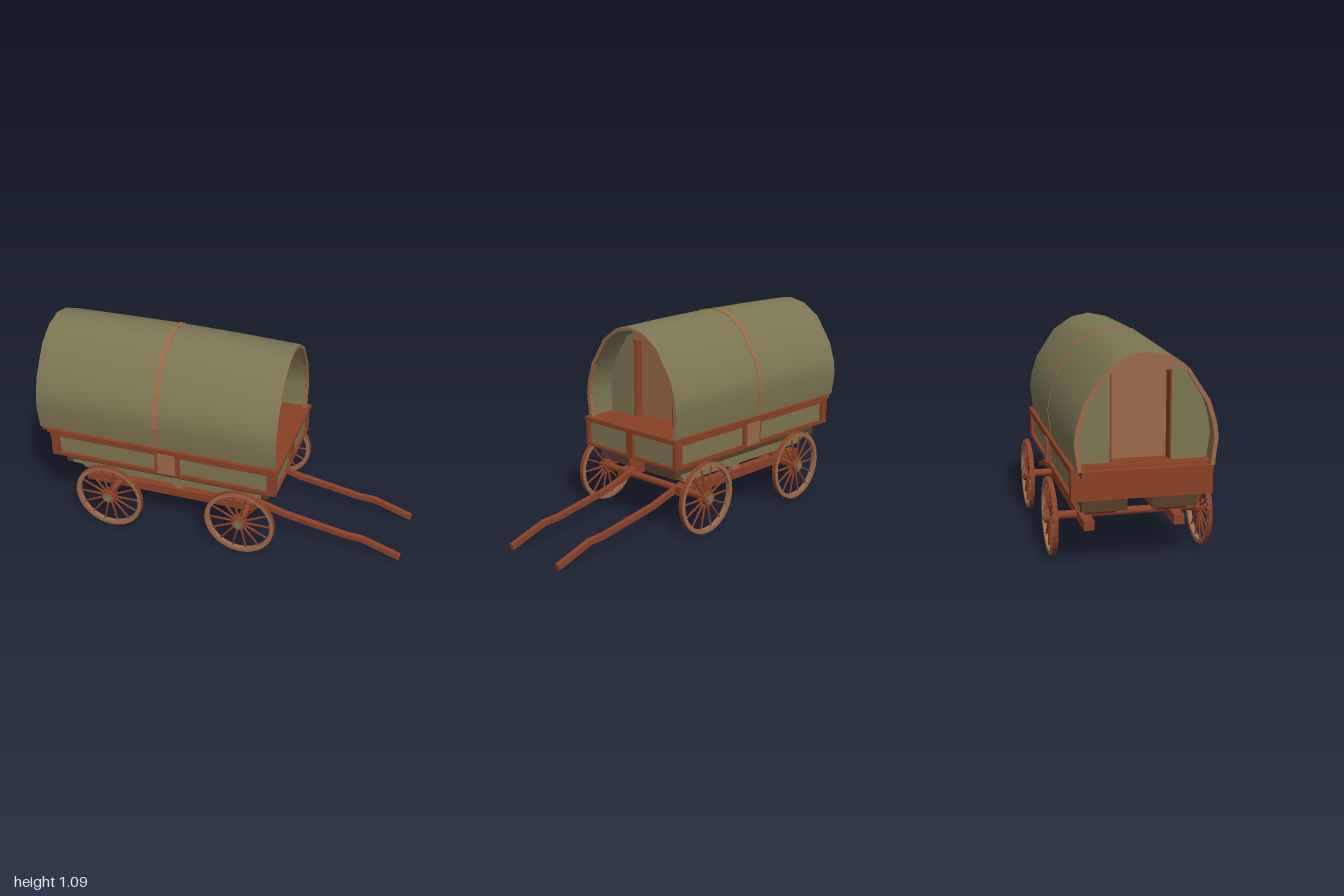
import * as THREE from 'three';

const mat = (name, color) => {
  const m = new THREE.MeshStandardMaterial({ color, side: THREE.DoubleSide });
  m.name = name;
  return m;
};

export function createModel() {
  const root = new THREE.Group();
  root.name = 'coveredWagon';
  const canvas = mat('oliveCanvas', 0x7d7653);
  const redWood = mat('redWood', 0x8a4026);
  const paleWood = mat('paleWood', 0x9b6a4b);
  const darkWood = mat('darkWood', 0x543d2a);

  const add = (name, geo, material, parent = root) => {
    const m = new THREE.Mesh(geo, material);
    m.name = name;
    parent.add(m);
    return m;
  };
  // Box given by its limits on each axis
  const box = (name, material, x0, x1, y0, y1, z0, z1) => {
    const m = add(name, new THREE.BoxGeometry(x1 - x0, y1 - y0, z1 - z0), material);
    m.position.set((x0 + x1) / 2, (y0 + y1) / 2, (z0 + z1) / 2);
    return m;
  };

  // Arched cross-section as [z, y], from one foot over the ridge to the other
  const half = [[0.325, 0.535], [0.342, 0.67], [0.331, 0.747], [0.298, 0.85], [0.2, 1.0], [0.1, 1.069]];
  const arch = (sz, sy) => [...half, [0, 1.09], ...half.map(([z, y]) => [-z, y]).reverse()]
    .map(([z, y]) => [z * sz, 0.535 + (y - 0.535) * sy]);
  const toShape = pts => new THREE.Shape(pts.map(p => new THREE.Vector2(p[0], p[1])));
  // Upright plate lying across the wagon, between x0 and x0 + depth
  const plate = (name, pts, x0, depth, material) => {
    const g = new THREE.ExtrudeGeometry(toShape(pts), { depth, bevelEnabled: false });
    g.rotateY(Math.PI / 2);
    g.translate(x0, 0, 0);
    return add(name, g, material);
  };
  const hoop = (name, outer, inner, x0, depth) =>
    plate(name, [...arch(...outer), ...arch(...inner).reverse()], x0, depth, paleWood);

  // Canvas cover: smooth loft through slightly swelling arches
  const stations = [[-1, 0.97], [-0.93, 0.985], [-0.65, 0.995], [-0.315, 1], [0, 0.99], [0.337, 0.97]];
  const pos = [], idx = [], n = arch(1, 1).length;
  stations.forEach(([x, s], i) => {
    arch(0.5 + s / 2, s).forEach(([z, y], j) => {
      pos.push(x, y, z);
      if (i && j) {
        const a = (i - 1) * n + j - 1, b = a + n;
        idx.push(a, b, a + 1, b, b + 1, a + 1);
      }
    });
  });
  const cover = new THREE.BufferGeometry();
  cover.setAttribute('position', new THREE.Float32BufferAttribute(pos, 3));
  cover.setIndex(idx);
  cover.computeVertexNormals();
  add('canvasCover', cover, canvas);
  hoop('middleHoop', [1.008, 1.006], [0.97, 0.975], -0.33, 0.03);
  hoop('frontHoop', [0.983, 0.969], [0.925, 0.938], 0.314, 0.022);
  hoop('rearHoop', [0.983, 0.969], [0.925, 0.938], -0.999, 0.022);

  // End walls set inside the cover, each with a recessed door in a red jamb
  const door = 0.138, side = door + 0.008;
  const inner = arch(0.975, 0.96);
  const flank = inner.slice(0, 5);
  for (const [x, inward] of [[0.145, -0.045], [-0.88, 0.065]]) {
    for (const s of [1, -1]) {
      const pts = [[side, 0.535], ...flank, [side, 1.0]].map(([z, y]) => [z * s, y]);
      plate('endWall', pts, x, 0.02, canvas);
      const x0 = Math.min(x, x + inward), x1 = Math.max(x + 0.021, x + inward);
      box('doorJamb', redWood, x0, x1, 0.54, 0.965, s > 0 ? door : -side, s > 0 ? side : -door);
    }
    plate('gable', [[side, 0.965], [side, 1.0], ...inner.slice(5, 8), [-side, 1.0], [-side, 0.965]], x, 0.02, paleWood);
    box('door', paleWood, x + inward, x + inward + 0.015, 0.535, 0.97, -door, door);
  }

  // Bed with olive panels inside a wooden frame
  box('bedPanels', canvas, -0.915, 0.33, 0.39, 0.525, -0.322, 0.322);
  box('bedFloor', redWood, -0.93, 0.34, 0.377, 0.392, -0.335, 0.335);
  box('deck', redWood, -0.95, 0.355, 0.522, 0.54, -0.342, 0.342);
  box('rearStep', redWood, -1, -0.93, 0.502, 0.535, -0.3, 0.3);
  box('tailBoard', redWood, -0.93, -0.91, 0.38, 0.525, -0.335, 0.335);
  for (const s of [1, -1]) {
    const z0 = s > 0 ? 0.315 : -0.338, z1 = z0 + 0.023;
    box('sideRail', redWood, -0.935, 0.345, 0.502, 0.524, z0, z1);
    box('sideSill', redWood, -0.93, 0.345, 0.378, 0.398, z0, z1);
    for (const [a, b] of [[-0.93, -0.885], [-0.325, -0.19], [0.295, 0.345]])
      box('sidePost', redWood, a, b, 0.38, 0.524, z0, z1);
    const zp = s > 0 ? 0.336 : -0.343;
    box('sideBadgePlate', paleWood, -0.31, -0.21, 0.39, 0.512, zp, zp + 0.007);
  }
  box('frontRail', redWood, 0.325, 0.345, 0.512, 0.524, -0.335, 0.335);
  box('frontSill', redWood, 0.325, 0.345, 0.378, 0.39, -0.335, 0.335);
  for (const z of [-0.328, 0, 0.328])
    box('frontPost', redWood, 0.325, 0.347, 0.38, 0.524, z - (z ? 0.01 : 0.022), z + (z ? 0.01 : 0.022));

  // Twin lockers slung below the bed, with narrower bottoms
  for (const s of [1, -1]) {
    const span = (a, b) => (s > 0 ? [a, b] : [-b, -a]);
    const [zPlus, zMinus] = s > 0 ? [darkWood, redWood] : [redWood, darkWood];
    box('locker', [darkWood, darkWood, darkWood, redWood, zPlus, zMinus], -0.88, 0.29, 0.305, 0.38, ...span(0.06, 0.28));
    const keel = box('lockerBottom', redWood, -0.86, 0.27, 0.265, 0.306, ...span(0.1, 0.25));
    const p = keel.geometry.attributes.position;
    for (let i = 0; i < p.count; i++) if (p.getY(i) < 0) p.setX(i, p.getX(i) * 0.87);
    keel.geometry.computeVertexNormals();
    box('lockerLowerPanel', canvas, -0.79, 0.2, 0.266, 0.305, ...span(0.25, 0.255));
    box('lockerUpperPanel', canvas, -0.84, 0.25, 0.305, 0.325, ...span(0.279, 0.283));

    // Long chassis beam and its hangers
    box('chassisBeam', redWood, -0.78, 0.2, 0.18, 0.228, ...span(0.197, 0.249));
    for (const x of [-0.585, -0.24, 0.06])
      box('hanger', x === -0.24 ? paleWood : redWood, x - 0.028, x + 0.028, 0.22, 0.27, ...span(0.21, 0.235));

    // Bent pulling shaft, square in section
    const path = [[0.14, 0.219], [0.35, 0.155], [0.7, 0.092], [0.79, 0.088], [1, 0.017]];
    const outline = [...path.map(([x, y]) => [x, y + 0.014]), ...path.map(([x, y]) => [x - 0.005, y - 0.014]).reverse()];
    const shaft = new THREE.ExtrudeGeometry(toShape(outline), { depth: 0.028, bevelEnabled: false });
    shaft.translate(0, 0, s * 0.179 - 0.014);
    add('pullShaft', shaft, redWood);
  }

  // Axles and spoked wheels
  const rod = (r, len, sides = 16) => new THREE.CylinderGeometry(r, r, len, sides).rotateX(Math.PI / 2);
  const ring = (r0, r1, depth) => {
    const shape = new THREE.Shape().absarc(0, 0, r1, 0, Math.PI * 2);
    shape.holes.push(new THREE.Path().absarc(0, 0, r0, 0, Math.PI * 2, true));
    return new THREE.ExtrudeGeometry(shape, { depth, bevelEnabled: false, curveSegments: 16 }).translate(0, 0, -depth / 2);
  };
  for (const x of [-0.585, 0.162]) {
    add('axle', rod(0.02, 0.78), redWood).position.set(x, 0.203, 0);
    for (const s of [1, -1]) {
      const wheel = new THREE.Group();
      wheel.name = 'wheel';
      wheel.position.set(x, 0.203, s * 0.381);
      root.add(wheel);
      add('wheelRim', ring(0.17, 0.19, 0.024), paleWood, wheel);
      add('wheelTyre', ring(0.189, 0.194, 0.022), redWood, wheel);
      add('hub', rod(0.036, 0.05), redWood, wheel);
      add('hubNose', rod(0.024, 0.062), redWood, wheel);
      add('hubFace', rod(0.029, 0.004), canvas, wheel).position.z = s * 0.025;
      add('hubCap', rod(0.021, 0.004), canvas, wheel).position.z = s * 0.031;
      for (let i = 0; i < 14; i++) {
        const spoke = new THREE.CylinderGeometry(0.005, 0.007, 0.145, 6);
        spoke.translate(0, 0.1, 0).rotateZ((i + 0.5) * Math.PI / 7);
        add('spoke', spoke, redWood, wheel);
      }
    }
  }
  return root;
}
